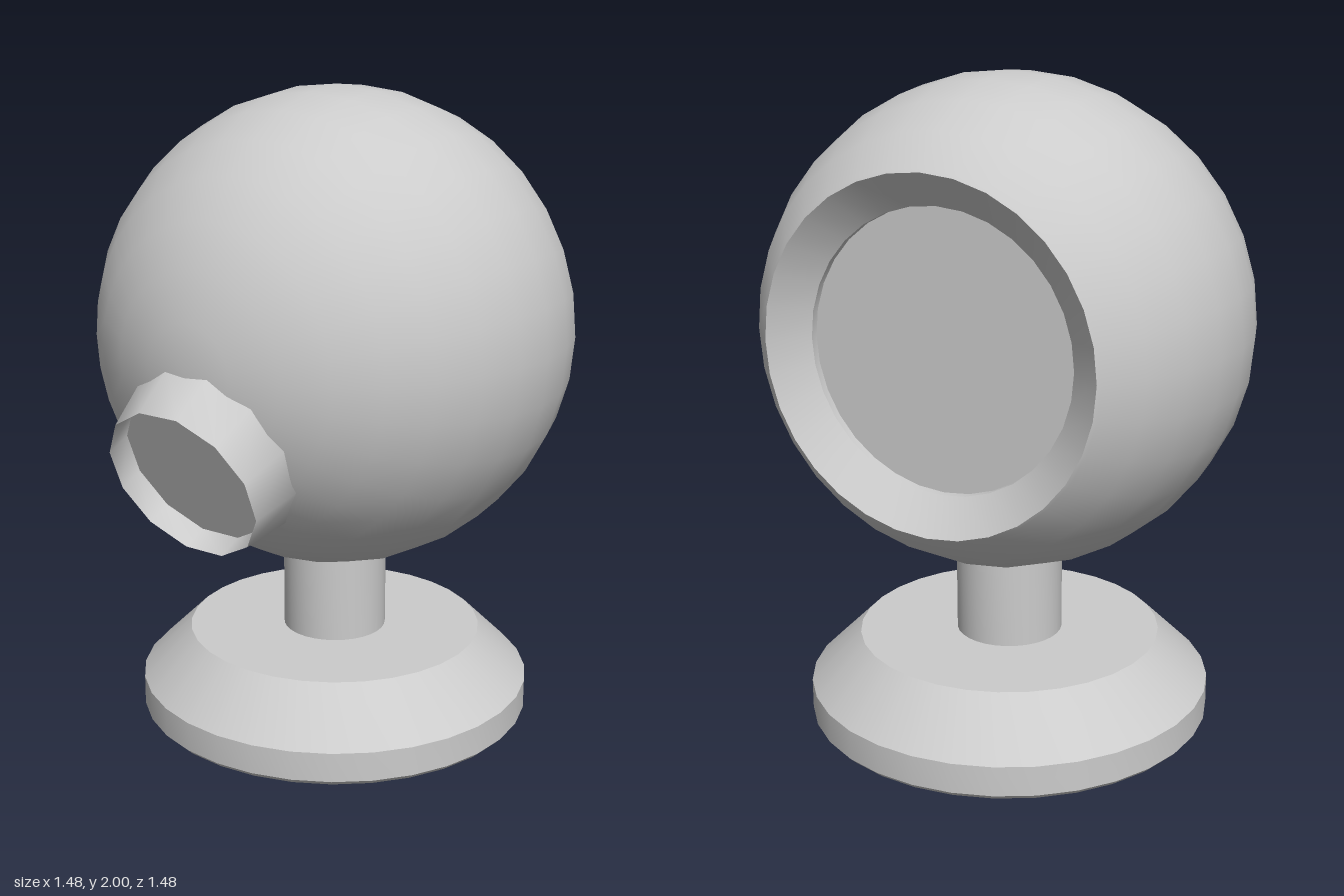
import * as THREE from 'three';
import { toCreasedNormals } from 'three/addons/utils/BufferGeometryUtils.js';

const CX = 0.116, CY = 1.26, R = 0.74;
const material = new THREE.MeshStandardMaterial({ color: 0xcccccc, side: THREE.DoubleSide });

// Turned part: profile is a list of [radius, height], lowest outer point first
function turned(name, profile, sides, phase = 0, crease = 0.4) {
  const points = profile.map(([r, y]) => new THREE.Vector2(r, y));
  const geometry = toCreasedNormals(new THREE.LatheGeometry(points, sides, phase), crease);
  const mesh = new THREE.Mesh(geometry, material);
  mesh.name = name;
  return mesh;
}

export function createModel() {
  const model = new THREE.Group();
  model.name = 'sphericalHeadOnStand';

  // Round foot with a bevelled upper edge
  const base = turned('base', [
    [0, 0], [0.61, 0], [0.627, 0.017], [0.627, 0.11], [0.47, 0.265], [0, 0.265],
  ], 32);
  base.position.x = CX;
  model.add(base);

  // Short stem, sunk into the head
  const stem = turned('stem', [[0.165, 0.26], [0.165, 0.58]], 32);
  stem.position.x = CX;
  model.add(stem);

  // Spherical head, open toward +x, with a sloping rim and recessed face
  const profile = [];
  for (let i = 0; i <= 12; i++) {
    const a = (i / 16) * Math.PI;
    profile.push([R * Math.sin(a), -R * Math.cos(a)]);
  }
  profile[12] = [0.527, 0.51];
  profile.push([0.518, 0.518], [0.415, 0.434], [0.415, 0.41], [0, 0.41]);
  const head = turned('head', profile, 32);
  head.rotation.z = -Math.PI / 2;
  head.position.set(CX, CY, 0);
  model.add(head);

  // Thin-walled tapered socket at the lower right, with a flat floor
  const socket = turned('socket', [
    [0.292, 0.66], [0.252, 0.826], [0.252, 0.743], [0, 0.743],
  ], 12, Math.PI / 12, 0.6);
  socket.rotation.z = THREE.MathUtils.degToRad(112.5);
  socket.position.set(CX, CY, 0);
  model.add(socket);

  return model;
}
